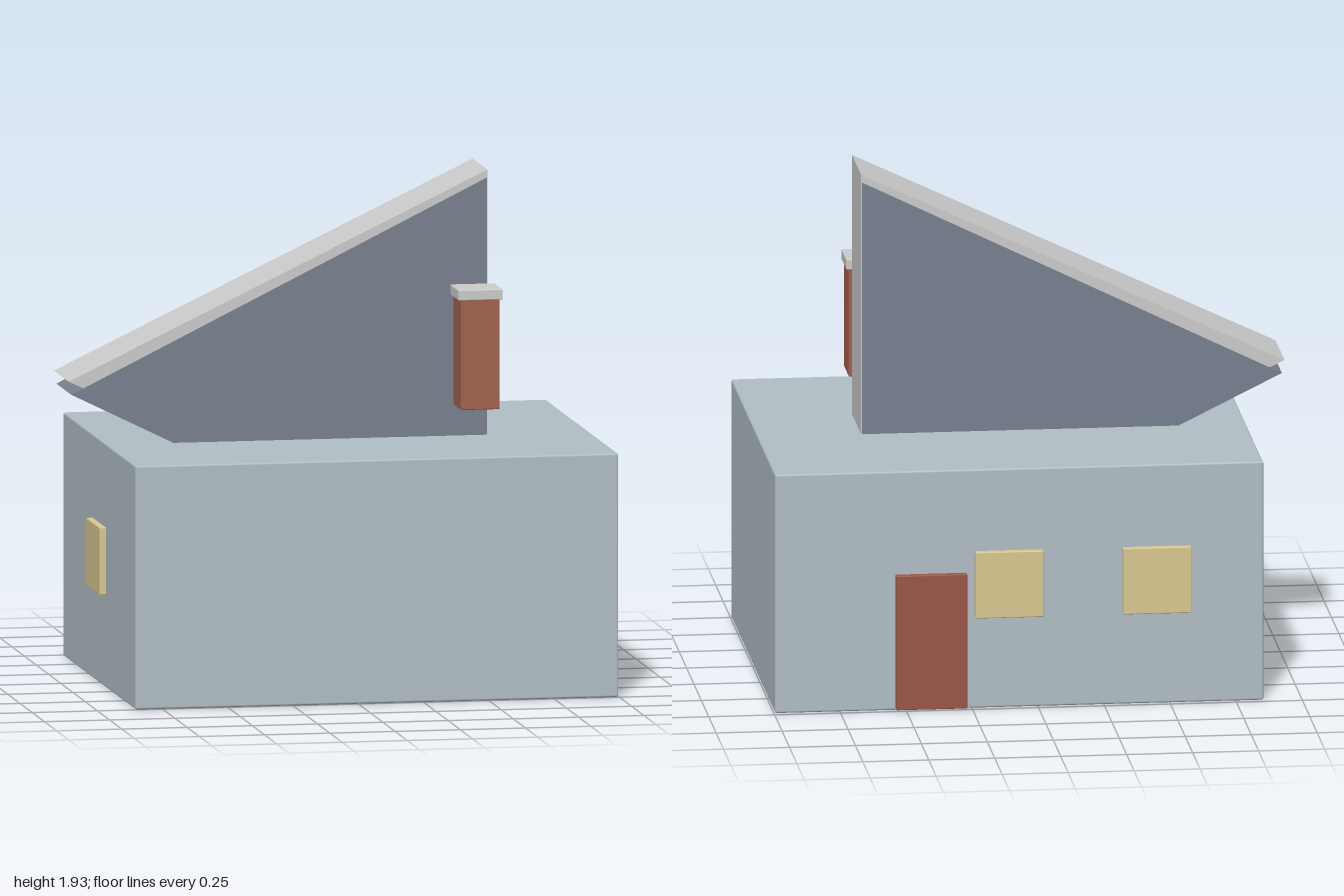
import * as THREE from 'three';
import { RoundedBoxGeometry } from 'three/addons/geometries/RoundedBoxGeometry.js';

const material = (color) => new THREE.MeshStandardMaterial({ color });

export function createModel() {
  const house = new THREE.Group();
  house.name = 'house';
  const wall = material(0xb0bec5);
  const gable = material(0x78808f);
  const roofGrey = material(0xcccccc);
  const brick = material(0xa1614c);
  const doorRed = material(0x9c5546);
  const glass = material(0xd8c790);

  // Slightly bevelled box given by its limits on each axis
  function block(name, mat, [x0, x1], [y0, y1], [z0, z1], bevel = 0.004) {
    const geometry = new RoundedBoxGeometry(x1 - x0, y1 - y0, z1 - z0, 1, bevel);
    const mesh = new THREE.Mesh(geometry, mat);
    mesh.position.set((x0 + x1) / 2, (y0 + y1) / 2, (z0 + z1) / 2);
    mesh.name = name;
    house.add(mesh);
  }

  // Triangular prism lying along z
  function prism(name, mat, corners, z0, z1) {
    const shape = new THREE.Shape(corners.map(([x, y]) => new THREE.Vector2(x, y)));
    const geometry = new THREE.ExtrudeGeometry(shape, { depth: z1 - z0, bevelEnabled: false });
    geometry.translate(0, 0, z0);
    const mesh = new THREE.Mesh(geometry, mat);
    mesh.name = name;
    house.add(mesh);
  }

  // Main body
  block('walls', wall, [-0.855, 0.997], [0, 0.927], [-0.73, 0.75], 0.008);

  // Tilted roof wedge: pale cover with a darker wedge showing on its sides
  prism('roofCover', roofGrey, [[-1, 1.17], [0.605, 0.41], [0.605, 1.935]], -0.145, 0.16);
  prism('roofGable', gable, [[-0.99, 1.12], [0.602, 0.335], [0.602, 1.905]], -0.146, 0.161);

  // Chimney beside the roof
  block('chimney', brick, [0.46, 0.61], [1.055, 1.475], [0.235, 0.387]);
  block('chimneyCap', roofGrey, [0.45, 0.62], [1.472, 1.512], [0.225, 0.392]);

  // Door and windows on the back wall
  block('door', doorRed, [0.27, 0.54], [0.005, 0.527], [-0.755, -0.72]);
  for (const x of [-0.58, -0.02]) {
    block('backWindow', glass, [x, x + 0.26], [0.353, 0.61], [-0.755, -0.72]);
  }

  // Window on the side wall
  block('sideWindow', glass, [-0.88, -0.845], [0.353, 0.61], [-0.125, 0.15]);

  return house;
}
